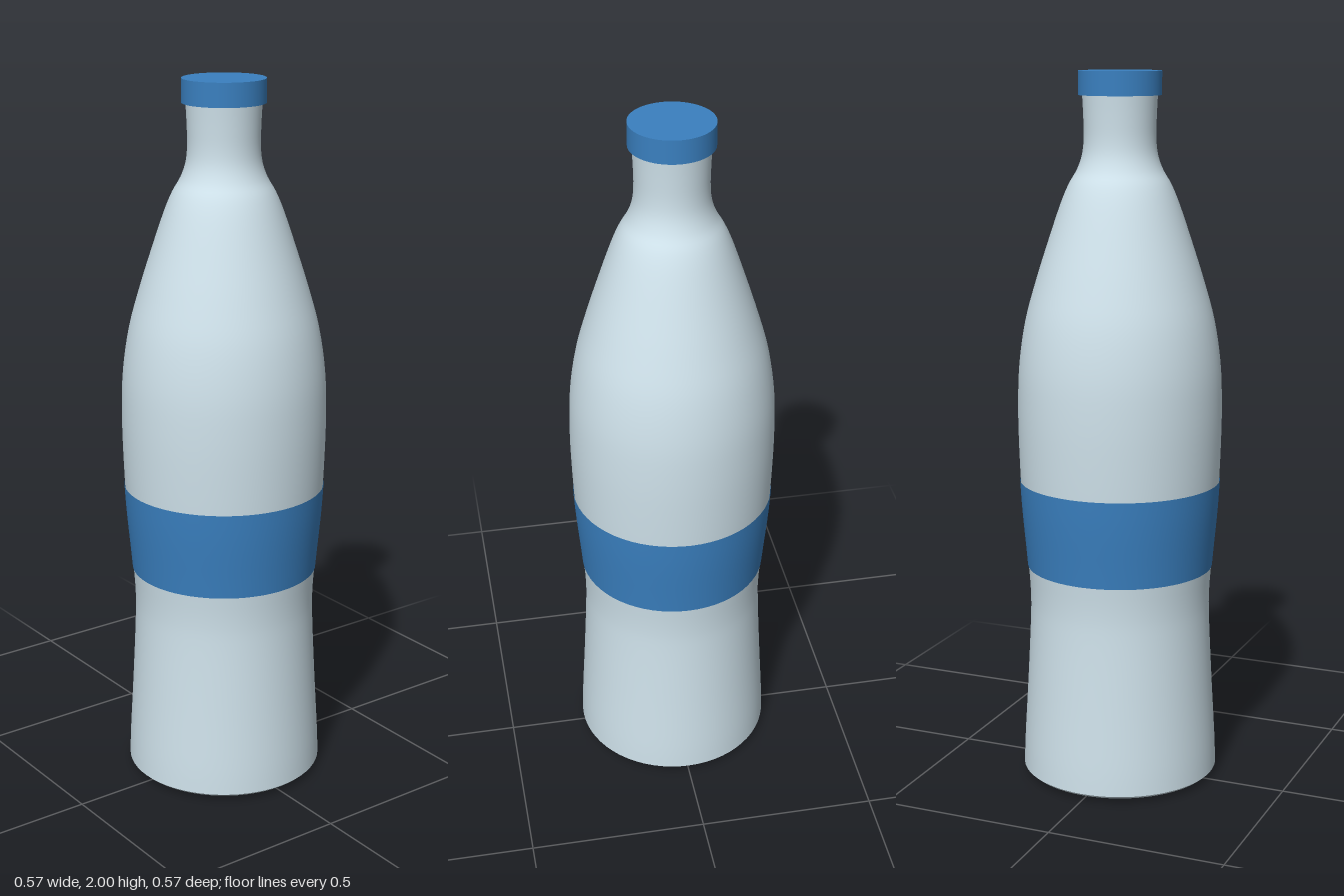
import * as THREE from 'three';

const SEGMENTS = 64;

// Side silhouette of the bottle: [radius, height], base to mouth
const silhouette = new THREE.SplineCurve([
  [0.279, 0.02], [0.276, 0.1], [0.266, 0.27], [0.257, 0.45], [0.256, 0.54], [0.263, 0.64],
  [0.277, 0.8], [0.284, 0.95], [0.286, 1.08], [0.281, 1.2], [0.263, 1.32], [0.233, 1.43],
  [0.198, 1.54], [0.164, 1.64], [0.141, 1.695], [0.118, 1.735], [0.104, 1.775], [0.099, 1.82],
  [0.1, 1.88], [0.103, 1.94],
].map(([r, y]) => new THREE.Vector2(r, y)));
const outline = silhouette.getPoints(76);

function radiusAt(y) {
  const i = Math.max(1, outline.findIndex((p) => p.y >= y));
  const a = outline[i - 1], b = outline[i];
  return THREE.MathUtils.lerp(a.x, b.x, (y - a.y) / (b.y - a.y));
}

export function createModel() {
  const group = new THREE.Group();
  const glass = new THREE.MeshStandardMaterial({ color: 0xcfe2eb });
  const blue = new THREE.MeshStandardMaterial({ color: 0x3a80c0 });

  function add(name, geometry, material) {
    const mesh = new THREE.Mesh(geometry, material);
    mesh.name = name;
    group.add(mesh);
    return mesh;
  }
  const lathe = (points) => new THREE.LatheGeometry(points, SEGMENTS);

  // Smooth contoured body up to the mouth
  add('body', lathe(outline), glass);

  // Shallow base with a bevelled rim
  add('base', lathe([[0, 0.004], [0.12, 0.002], [0.2, 0], [0.25, 0.006], [0.27, 0.012], [0.279, 0.02]]
    .map(([r, y]) => new THREE.Vector2(r, y))), glass);

  // Label band following the body contour
  const band = [];
  for (let i = 0; i <= 12; i++) {
    const y = 0.618 + (0.867 - 0.618) * (i / 12);
    band.push(new THREE.Vector2(radiusAt(y) + 0.002, y));
  }
  const label = add('label', lathe(band), blue.clone());
  label.material.side = THREE.DoubleSide;

  // Flat-topped cap
  add('cap', new THREE.CylinderGeometry(0.114, 0.114, 0.065, SEGMENTS), blue).position.y = 1.9675;

  return group;
}
